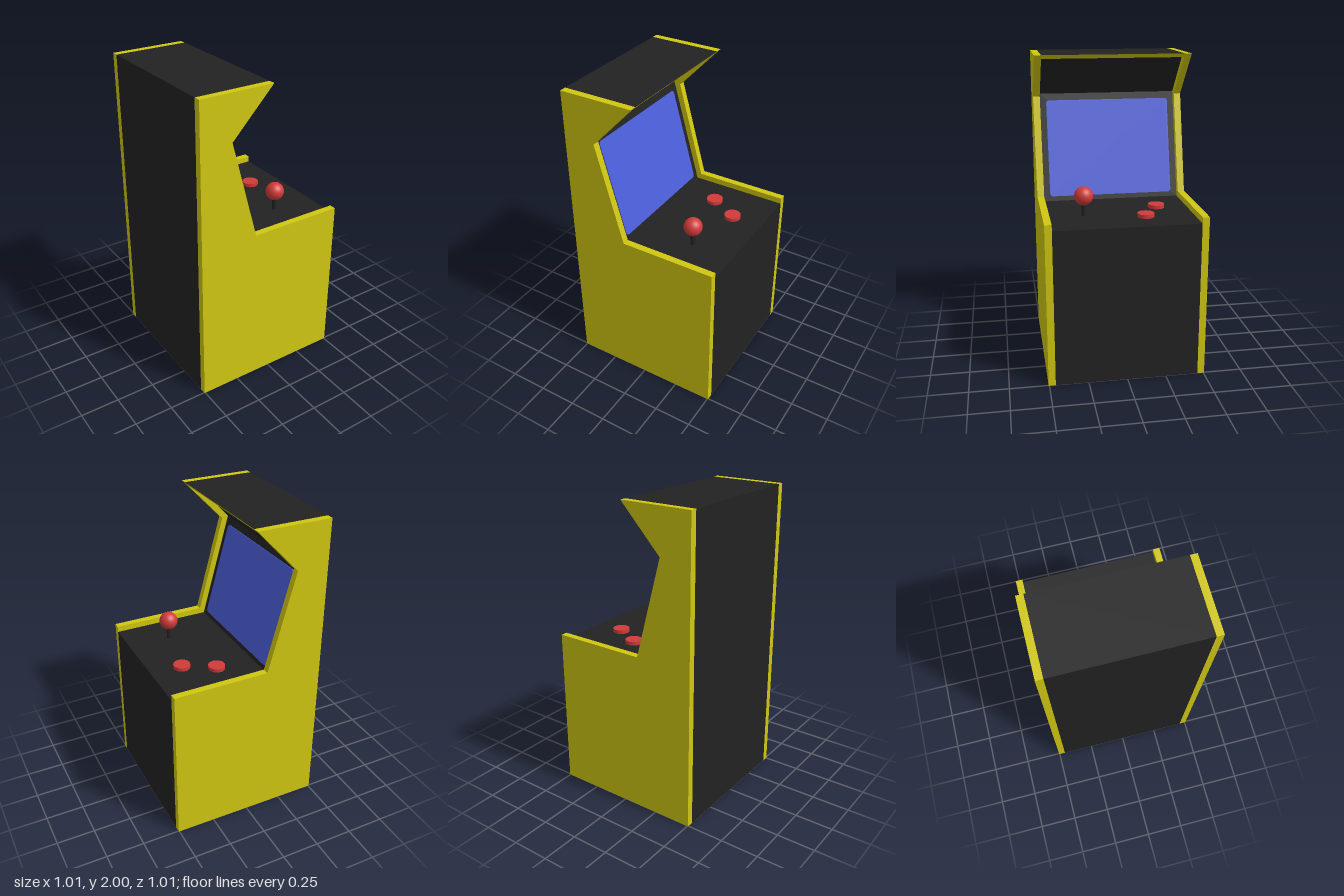
import * as THREE from 'three';

const material = (name, color, side = THREE.FrontSide) => {
  const m = new THREE.MeshStandardMaterial({ color, side });
  m.name = name;
  return m;
};

export function createModel() {
  const yellow = material('yellow', 0xd0c711);
  const black = material('black', 0x222222);
  const blue = material('screen blue', 0x4c60db);
  const red = material('red', 0xd03b3b);

  const model = new THREE.Group();
  model.name = 'arcadeCabinet';
  const add = (name, geometry, mat, x = 0, y = 0, z = 0) => {
    const mesh = new THREE.Mesh(geometry, mat);
    mesh.name = name;
    mesh.position.set(x, y, z);
    model.add(mesh);
    return mesh;
  };

  const half = 0.505, inner = 0.46;

  // Side panels: one silhouette, extruded at each side
  const side = new THREE.Shape([
    [-half, 0], [half, 0], [half, 1.06], [-0.12, 1.06],
    [-0.295, 1.71], [-0.02, 2], [-half, 2],
  ].map(p => new THREE.Vector2(...p)));
  const sideGeometry = new THREE.ExtrudeGeometry(side, { depth: half - inner, bevelEnabled: false });
  add('leftSidePanel', sideGeometry, yellow, 0, 0, inner);
  add('rightSidePanel', sideGeometry, yellow, 0, 0, -half);

  // Flat panels spanning the sides, following a counter-clockwise profile
  const span = (name, points, mat) => {
    const position = [];
    for (let i = 0; i + 1 < points.length; i++) {
      const [p, q] = [points[i], points[i + 1]];
      const a = [...p, -inner], b = [...p, inner], c = [...q, inner], d = [...q, -inner];
      position.push(...a, ...d, ...c, ...a, ...c, ...b);
    }
    const geometry = new THREE.BufferGeometry();
    geometry.setAttribute('position', new THREE.Float32BufferAttribute(position, 3));
    geometry.computeVertexNormals();
    add(name, geometry, mat);
  };
  const screenFoot = [-0.15, 1.02], hoodCorner = [-0.339, 1.721], hoodTop = [-0.1, 1.975];
  span('base', [[-half, 0], [half, 0]], yellow);
  span('frontPanel', [[half, 0], [half, 1.02]], black);
  span('controlPanel', [[half, 1.02], screenFoot], black);
  span('screenSurround', [screenFoot, hoodCorner], black);
  span('hoodUnderside', [hoodCorner, hoodTop], black);
  span('hoodLip', [hoodTop, [-0.044, 1.975], [-0.02, 2]], yellow);
  span('topAndBack', [[-0.02, 2], [-half, 2], [-half, 0]], black);

  // Screen: thin rounded plate lying on the sloped surround
  const w = 0.417, h = 0.324, r = 0.02;
  const outline = new THREE.Shape();
  outline.absarc(w - r, h - r, r, 0, Math.PI / 2);
  outline.absarc(r - w, h - r, r, Math.PI / 2, Math.PI);
  outline.absarc(r - w, r - h, r, Math.PI, Math.PI * 1.5);
  outline.absarc(w - r, r - h, r, Math.PI * 1.5, Math.PI * 2);
  const plate = new THREE.ExtrudeGeometry(outline, { depth: 0.005, bevelEnabled: false, curveSegments: 4 });
  add('screen', plate, blue, -0.242, 1.363, 0).rotation.set(0, Math.PI / 2, 0.263, 'ZYX');

  // Joystick
  add('joystickShaft', new THREE.CylinderGeometry(0.015, 0.015, 0.1, 16), black, 0.22, 1.07, 0.235);
  add('joystickBall', new THREE.SphereGeometry(0.06, 24, 16), red, 0.22, 1.15, 0.235);

  // Buttons
  const button = new THREE.CylinderGeometry(0.054, 0.054, 0.024, 32);
  [[0.105, -0.257], [0.298, -0.149]].forEach(([x, z], i) => add(`button${i + 1}`, button, red, x, 1.032, z));

  return model;
}
